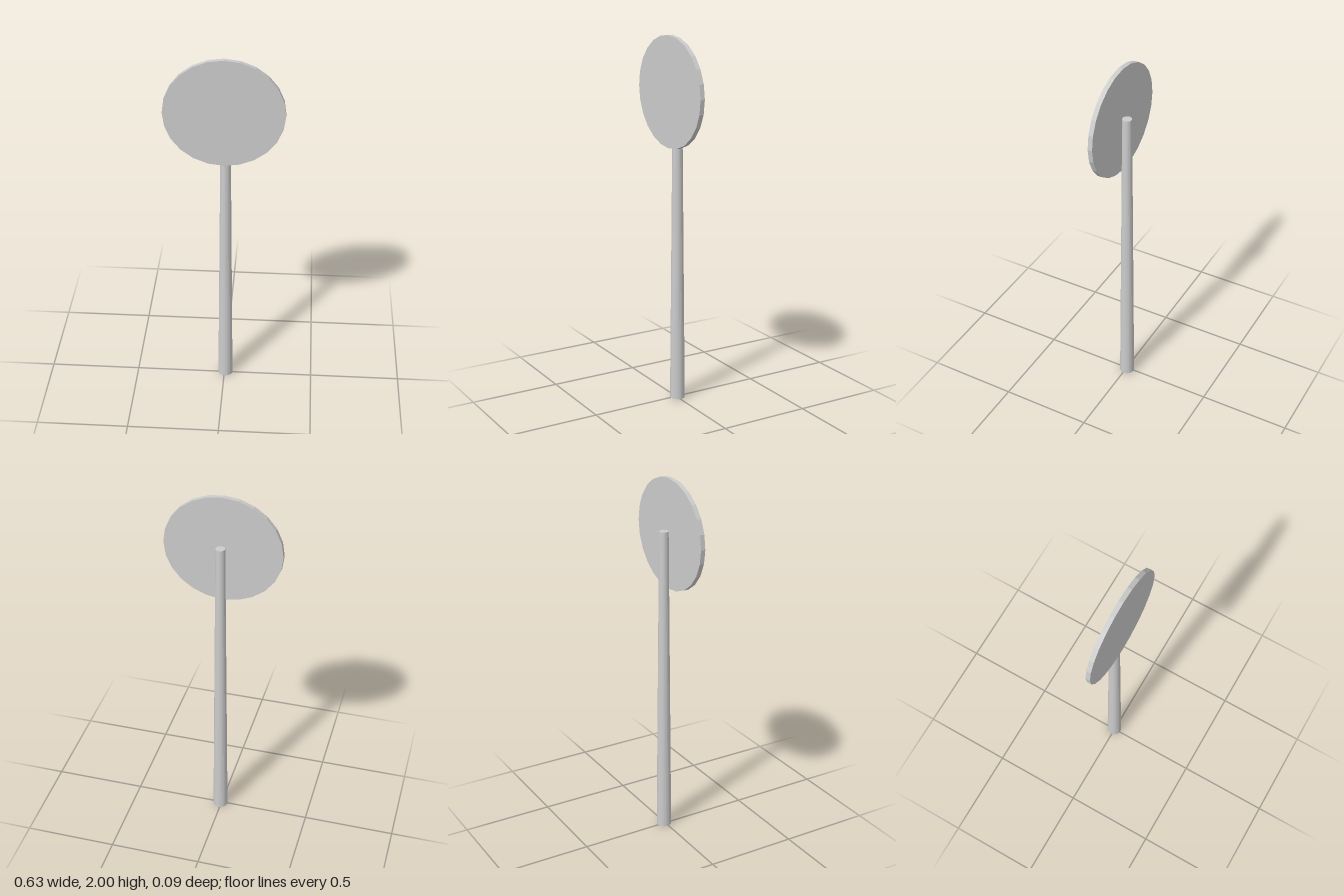
import * as THREE from 'three';

export function createModel() {
  const model = new THREE.Group();
  const material = new THREE.MeshStandardMaterial({ color: 0xcccccc, flatShading: true });

  const addPart = (name, geometry, x, y, z) => {
    const mesh = new THREE.Mesh(geometry, material);
    mesh.name = name;
    mesh.position.set(x, y, z);
    model.add(mesh);
  };

  // Tapered pole, standing just behind the sign
  const poleHeight = 1.724;
  addPart('pole', new THREE.CylinderGeometry(0.025, 0.041, poleHeight, 24), 0.006, poleHeight / 2, -0.005);

  // Slightly oval sign plate, turned to face the front
  const plate = new THREE.CylinderGeometry(1, 1, 0.025, 24);
  plate.rotateX(Math.PI / 2);
  plate.scale(0.313, 0.296, 1);
  addPart('signPlate', plate, 0, 1.704, 0.0325);

  return model;
}
